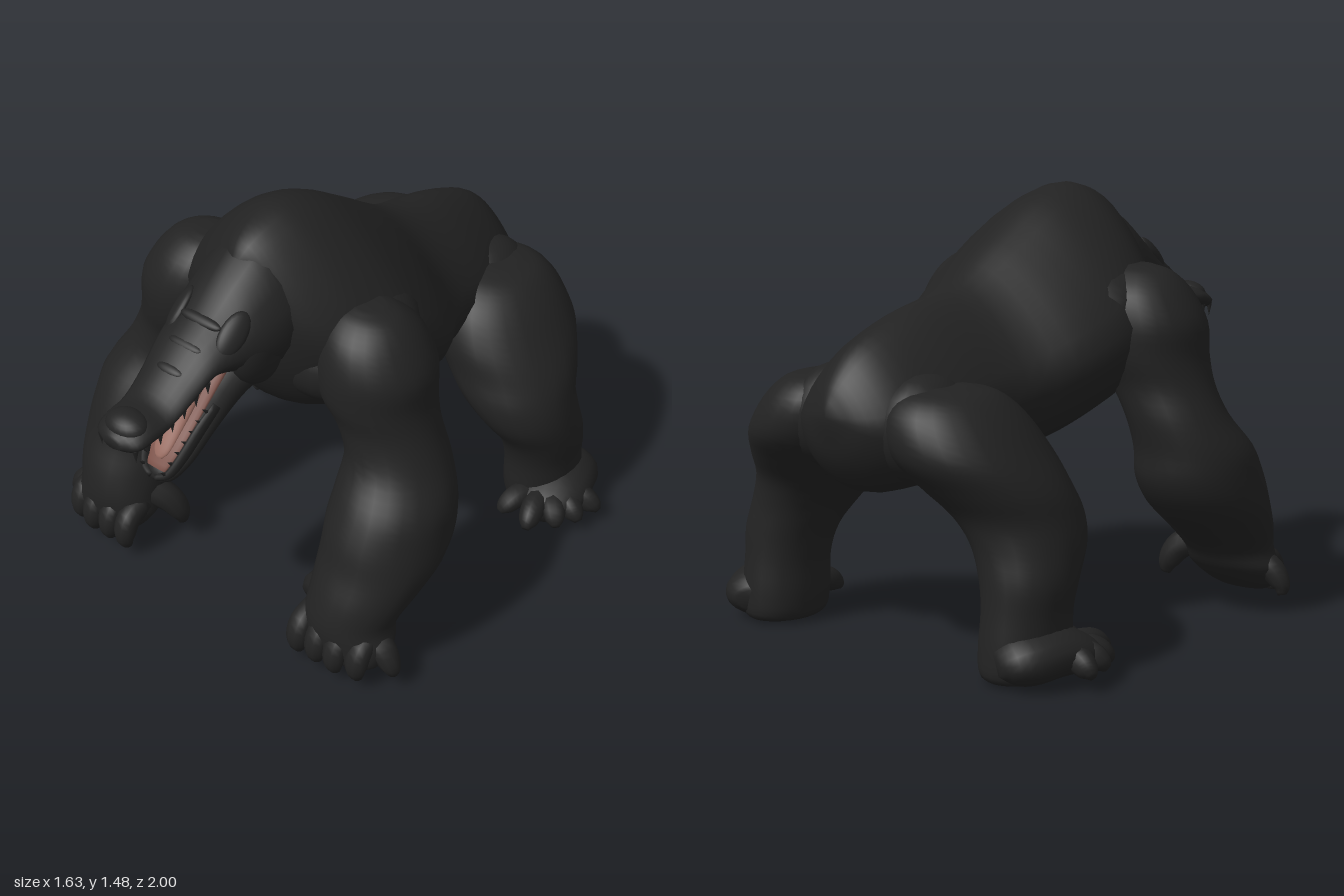
import * as THREE from 'three';

const mat = (name, color) => Object.assign(new THREE.MeshStandardMaterial({ color }), { name });
const hide = mat('black hide', 0x222222);
const mouth = mat('mouth lining', 0x7c5249);
const tongueMat = mat('tongue', 0x986b60);

const X = new THREE.Vector3(1, 0, 0), Y = new THREE.Vector3(0, 1, 0), Z = new THREE.Vector3(0, 0, 1);
const DOWN = new THREE.Vector3(0, -1, 0);

// Smooth skin through rings [x, y, z, half width, half depth].
// side mirrors in x, ref is the width axis, dir fixes the ring normal, taper narrows the upper half.
function loft(name, rings, { side = 1, ref = X, dir = null, taper = 0, sides = 20, steps = 4, material = hide } = {}) {
  const path = new THREE.CatmullRomCurve3(rings.map(r => new THREE.Vector3(r[0] * side, r[1], r[2])), false, 'catmullrom');
  const size = new THREE.CatmullRomCurve3(rings.map(r => new THREE.Vector3(r[3], r[4], 0)), false, 'catmullrom');
  const n = (rings.length - 1) * steps, pos = [], idx = [];
  for (let i = 0; i <= n; i++) {
    const c = path.getPoint(i / n), h = size.getPoint(i / n);
    const t = dir ? dir.clone() : path.getTangent(i / n);
    const s = ref.clone().addScaledVector(t, -ref.dot(t)).normalize();
    const u = t.clone().cross(s);
    for (let j = 0; j < sides; j++) {
      const a = j / sides * Math.PI * 2, up = Math.sin(a);
      const w = Math.max(h.x, 0.003) * Math.cos(a) * (1 - taper * Math.max(0, up));
      const p = c.clone().addScaledVector(s, w).addScaledVector(u, Math.max(h.y, 0.003) * up);
      pos.push(p.x, p.y, p.z);
      if (i < n) {
        const k = (j + 1) % sides, q = i * sides;
        idx.push(q + j, q + k, q + sides + j, q + k, q + sides + k, q + sides + j);
      }
    }
  }
  // end caps
  for (const [row, flip] of [[0, true], [n, false]]) {
    const c = path.getPoint(row / n), m = pos.length / 3;
    pos.push(c.x, c.y, c.z);
    for (let j = 0; j < sides; j++) {
      const a = row * sides + j, b = row * sides + (j + 1) % sides;
      idx.push(m, flip ? b : a, flip ? a : b);
    }
  }
  const g = new THREE.BufferGeometry();
  g.setAttribute('position', new THREE.Float32BufferAttribute(pos, 3));
  g.setIndex(idx);
  g.computeVertexNormals();
  const mesh = new THREE.Mesh(g, material);
  mesh.name = name;
  return mesh;
}

// Profile rows [z, top, bottom, half width] to upright rings
const upright = rows => rows.map(([z, top, bottom, w]) => [0, (top + bottom) / 2, z, w, (top - bottom) / 2]);
// Rows [y, inner x, outer x, back z, front z] to level rings
const level = rows => rows.map(([y, x0, x1, z0, z1]) => [(x0 + x1) / 2, y, (z0 + z1) / 2, (x1 - x0) / 2, (z1 - z0) / 2]);

function blob(name, x, y, z, rx, ry, rz, rotX = 0, rotZ = 0) {
  const m = new THREE.Mesh(new THREE.SphereGeometry(1, 20, 14), hide);
  m.name = name;
  m.position.set(x, y, z);
  m.scale.set(rx, ry, rz);
  m.rotation.set(rotX, 0, rotZ);
  return m;
}

function tooth(name, x, y, z, h, rotX) {
  const m = new THREE.Mesh(new THREE.ConeGeometry(0.011, h, 5), hide);
  m.name = name;
  m.position.set(x, y, z);
  m.rotation.x = rotX;
  return m;
}

function makeArm(side) {
  const g = new THREE.Group();
  g.name = side > 0 ? 'leftArm' : 'rightArm';
  g.add(loft('arm', level([
    [1.22, 0.29, 0.4, 0.1, 0.2], [1.195, 0.22, 0.475, 0.05, 0.26], [1.13, 0.19, 0.54, -0.015, 0.325],
    [1.03, 0.185, 0.595, -0.04, 0.36], [0.92, 0.2, 0.603, -0.035, 0.36], [0.82, 0.265, 0.63, -0.005, 0.34],
    [0.71, 0.325, 0.68, 0.0, 0.36], [0.6, 0.335, 0.738, 0.015, 0.44], [0.5, 0.33, 0.755, 0.02, 0.495],
    [0.4, 0.34, 0.757, 0.08, 0.53], [0.3, 0.36, 0.73, 0.2, 0.575], [0.21, 0.37, 0.7, 0.31, 0.6],
    [0.14, 0.37, 0.72, 0.36, 0.6], [0.08, 0.41, 0.7, 0.43, 0.59], [0.05, 0.46, 0.65, 0.48, 0.56]]), { side, dir: DOWN, sides: 24 }));
  // four fingers, little finger and thumb
  for (let i = 0; i < 4; i++) {
    const x = 0.41 + i * 0.08, z = i === 3 ? -0.02 : 0;
    g.add(loft('finger', [[x, 0.18, 0.49 + z, 0.04, 0.04], [x, 0.15, 0.565 + z, 0.044, 0.044],
      [x, 0.09, 0.592 + z, 0.04, 0.036], [x, 0.04, 0.585 + z, 0.022, 0.02]], { side, sides: 10 }));
  }
  g.add(loft('littleFinger', [[0.62, 0.15, 0.47, 0.05, 0.05], [0.69, 0.14, 0.485, 0.048, 0.048],
    [0.735, 0.09, 0.49, 0.036, 0.036], [0.745, 0.05, 0.485, 0.016, 0.016]], { side, ref: Z, sides: 10 }));
  g.add(loft('thumb', [[0.43, 0.22, 0.45, 0.06, 0.06], [0.355, 0.18, 0.415, 0.052, 0.05],
    [0.32, 0.125, 0.395, 0.04, 0.04], [0.31, 0.08, 0.39, 0.018, 0.018]], { side, ref: Z, sides: 10 }));
  return g;
}

function makeLeg(side) {
  const g = new THREE.Group();
  g.name = side > 0 ? 'leftLeg' : 'rightLeg';
  g.add(loft('leg', level([
    [0.905, 0.18, 0.32, -0.79, -0.64], [0.88, 0.1, 0.41, -0.88, -0.54], [0.81, 0.05, 0.49, -0.94, -0.455],
    [0.7, 0.08, 0.57, -0.95, -0.405], [0.6, 0.14, 0.63, -0.88, -0.395], [0.51, 0.23, 0.66, -0.815, -0.385],
    [0.42, 0.32, 0.68, -0.8, -0.41], [0.32, 0.38, 0.69, -0.81, -0.475], [0.22, 0.405, 0.68, -0.82, -0.505],
    [0.1, 0.405, 0.68, -0.835, -0.51], [0.02, 0.42, 0.66, -0.83, -0.53], [0.0, 0.48, 0.6, -0.76, -0.6]]),
  { side, dir: DOWN, sides: 24 }));
  g.add(loft('foot', [[0.535, 0.08, -0.82, 0.07, 0.04], [0.565, 0.09, -0.765, 0.14, 0.085], [0.605, 0.1, -0.66, 0.15, 0.09],
    [0.645, 0.08, -0.55, 0.13, 0.065], [0.67, 0.06, -0.485, 0.06, 0.035]], { side }));
  // toes fan outward
  for (const [x, z] of [[0.805, -0.66], [0.785, -0.56], [0.74, -0.48], [0.66, -0.4], [0.53, -0.42]]) {
    const at = (f, y, r) => [0.6 + (x - 0.6) * f, y, -0.62 + (z + 0.62) * f, r, r];
    g.add(loft('toe', [at(0.3, 0.09, 0.045), at(0.65, 0.09, 0.045), at(0.88, 0.068, 0.036), at(1, 0.05, 0.014)],
      { side, ref: Y, sides: 10 }));
  }
  return g;
}

function makeHead() {
  const g = new THREE.Group();
  g.name = 'head';
  g.add(loft('skullAndUpperJaw', upright([
    [0.2, 1.44, 0.95, 0.2], [0.34, 1.41, 0.95, 0.215], [0.45, 1.34, 0.965, 0.2], [0.55, 1.255, 1.03, 0.168],
    [0.65, 1.185, 1.065, 0.135], [0.74, 1.115, 1.015, 0.118], [0.83, 1.055, 0.975, 0.108], [0.91, 1.05, 0.955, 0.105],
    [0.97, 1.025, 0.95, 0.09], [1.0, 1.0, 0.965, 0.035]]), { dir: Z, taper: 0.2 }));
  g.add(loft('lowerJaw', [
    [0, 1.06, 0.4, 0.18, 0.09], [0, 0.99, 0.53, 0.14, 0.085], [0, 0.88, 0.64, 0.108, 0.055],
    [0, 0.79, 0.73, 0.088, 0.045], [0, 0.74, 0.795, 0.062, 0.035], [0, 0.72, 0.82, 0.025, 0.015]]));
  g.add(loft('mouthLining', [[0, 1.07, 0.55, 0.095, 0.03], [0, 1.03, 0.595, 0.095, 0.024], [0, 0.93, 0.68, 0.08, 0.014],
    [0, 0.83, 0.765, 0.064, 0.011], [0, 0.765, 0.812, 0.04, 0.008]], { material: mouth }));
  g.add(loft('tongue', [[0, 1.06, 0.58, 0.055, 0.03], [0, 1.0, 0.64, 0.055, 0.03], [0, 0.91, 0.71, 0.046, 0.02],
    [0, 0.83, 0.776, 0.034, 0.011], [0, 0.8, 0.798, 0.015, 0.006]], { material: tongueMat }));
  g.add(loft('palate', [[0, 1.055, 0.62, 0.06, 0.012], [0, 1.04, 0.7, 0.06, 0.012], [0, 0.985, 0.8, 0.055, 0.012],
    [0, 0.965, 0.88, 0.04, 0.012]], { material: mouth }));
  g.add(blob('nose', 0, 1.015, 0.925, 0.08, 0.045, 0.06, 0.2));
  // ridges across the snout
  for (let i = 0; i < 3; i++) g.add(blob('snoutRidge', 0, 1.225 - i * 0.056, 0.575 + i * 0.075, 0.085 - i * 0.015, 0.014, 0.022, 0.6));
  for (const s of [-1, 1]) {
    g.add(blob('brow', s * 0.115, 1.205, 0.55, 0.045, 0.022, 0.085, 0.7, s * -0.7));
    g.add(blob('cheek', s * 0.13, 1.09, 0.46, 0.065, 0.12, 0.1, 0.5));
    g.add(loft('lowerLip', [[0.1, 0.955, 0.62, 0.012, 0.02], [0.092, 0.9, 0.69, 0.016, 0.024],
      [0.076, 0.82, 0.76, 0.016, 0.022], [0.052, 0.76, 0.808, 0.014, 0.018], [0.01, 0.738, 0.825, 0.012, 0.014]], { side: s, sides: 8 }));
    // teeth along both jaws
    for (let i = 0; i < 7; i++) {
      const f = i / 6;
      g.add(tooth('lowerTooth', s * (0.092 - 0.045 * f), 0.955 - 0.185 * f, 0.665 + 0.16 * f, 0.05, Math.PI / 4));
      g.add(tooth('upperTooth', s * (0.11 - 0.035 * f), 1.06 - 0.11 * Math.min(1, f * 1.3), 0.67 + 0.3 * f, 0.05, Math.PI));
    }
  }
  return g;
}

export function createModel() {
  const model = new THREE.Group();
  model.name = 'beast';
  model.add(loft('torso', upright([
    [-1.0, 0.84, 0.78, 0.03], [-0.955, 0.93, 0.65, 0.15], [-0.85, 1.03, 0.55, 0.25], [-0.65, 1.11, 0.54, 0.3],
    [-0.4, 1.175, 0.565, 0.325], [-0.2, 1.3, 0.6, 0.43], [0, 1.425, 0.65, 0.465], [0.16, 1.478, 0.69, 0.42],
    [0.28, 1.46, 0.76, 0.34], [0.37, 1.415, 0.9, 0.22], [0.42, 1.35, 1.05, 0.06]]), { dir: Z, taper: 0.4, sides: 32 }));
  // chest, shoulder and hip muscles
  for (const s of [-1, 1]) {
    model.add(blob('chestMuscle', s * 0.2, 0.97, 0.22, 0.19, 0.14, 0.13));
    model.add(blob('shoulderMuscle', s * 0.27, 1.11, 0.09, 0.2, 0.12, 0.2, 0, s * -0.3));
    model.add(blob('hipMuscle', s * 0.19, 0.76, -0.745, 0.15, 0.18, 0.185));
    model.add(makeArm(s), makeLeg(s));
  }
  model.add(makeHead());
  return model;
}
